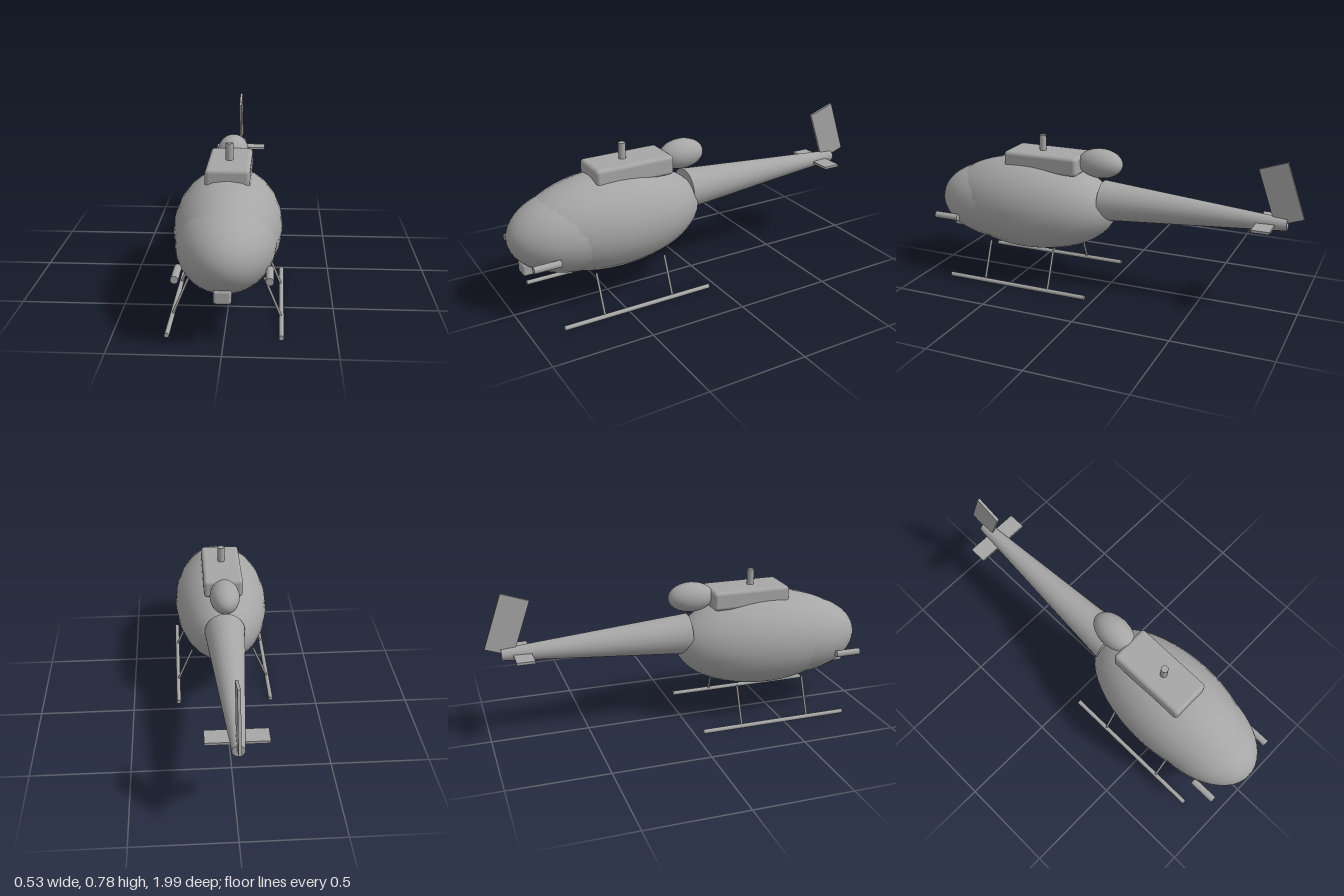
import * as THREE from 'three';
import { RoundedBoxGeometry } from 'three/addons/geometries/RoundedBoxGeometry.js';

export function createModel() {
  const model = new THREE.Group();
  model.name = 'helicopter';
  const grey = new THREE.MeshStandardMaterial({ name: 'grey', color: 0xa6a6a6 });

  function add(name, geometry, x, y, z) {
    const mesh = new THREE.Mesh(geometry, grey);
    mesh.name = name;
    mesh.position.set(x, y, z);
    model.add(mesh);
    return mesh;
  }
  // ellipsoid with its poles along z
  const ellipsoid = (rx, ry, rz, sides = 24) =>
    new THREE.SphereGeometry(1, sides, 24).rotateX(Math.PI / 2).scale(rx, ry, rz);
  // cylinder along z, first radius at the +z end
  const rod = (front, back, length, sides = 16) =>
    new THREE.CylinderGeometry(front, back, length, sides).rotateX(Math.PI / 2);

  // fuselage and bulging nose
  add('fuselage', ellipsoid(0.253, 0.25, 0.487), 0, 0.405, 0.467);
  add('nose', ellipsoid(0.228, 0.21, 0.35, 32), 0, 0.392, 0.648);

  // roof: engine housing, rotor mast, exhaust pod
  add('engineHousing', new RoundedBoxGeometry(0.206, 0.1, 0.418, 3, 0.02), 0, 0.65, 0.364);
  add('rotorMast', new THREE.CylinderGeometry(0.018, 0.018, 0.1, 16), 0, 0.73, 0.39);
  add('exhaustPod', ellipsoid(0.077, 0.077, 0.121), 0, 0.662, 0.06);

  // tail
  add('tailBoom', rod(0.106, 0.03, 0.96, 24), 0, 0.464, -0.438);
  add('stabilizer', new THREE.BoxGeometry(0.29, 0.013, 0.09), 0, 0.461, -0.817);
  add('tailFin', new THREE.BoxGeometry(0.014, 0.289, 0.145), 0, 0.614, -0.88).rotation.x = 0.335;

  // chin sensor
  add('chinSensor', new RoundedBoxGeometry(0.077, 0.063, 0.12, 3, 0.012), 0, 0.245, 0.886);

  // nose tubes and landing gear, mirrored
  for (const side of [1, -1]) {
    add('noseTube', rod(0.0175, 0.0175, 0.135), side * 0.2, 0.326, 0.883);
    add('skid', rod(0.0115, 0.0115, 0.795, 12), side * 0.254, 0.0125, 0.443);
    for (const z of [0.258, 0.63]) {
      const foot = new THREE.Vector3(side * 0.254, 0.013, z);
      const top = new THREE.Vector3(side * 0.172, 0.212, z);
      const mid = foot.clone().lerp(top, 0.5);
      const strut = add('strut',
        new THREE.CylinderGeometry(0.006, 0.006, foot.distanceTo(top), 10), mid.x, mid.y, mid.z);
      strut.quaternion.setFromUnitVectors(new THREE.Vector3(0, 1, 0), top.sub(foot).normalize());
    }
  }
  return model;
}
